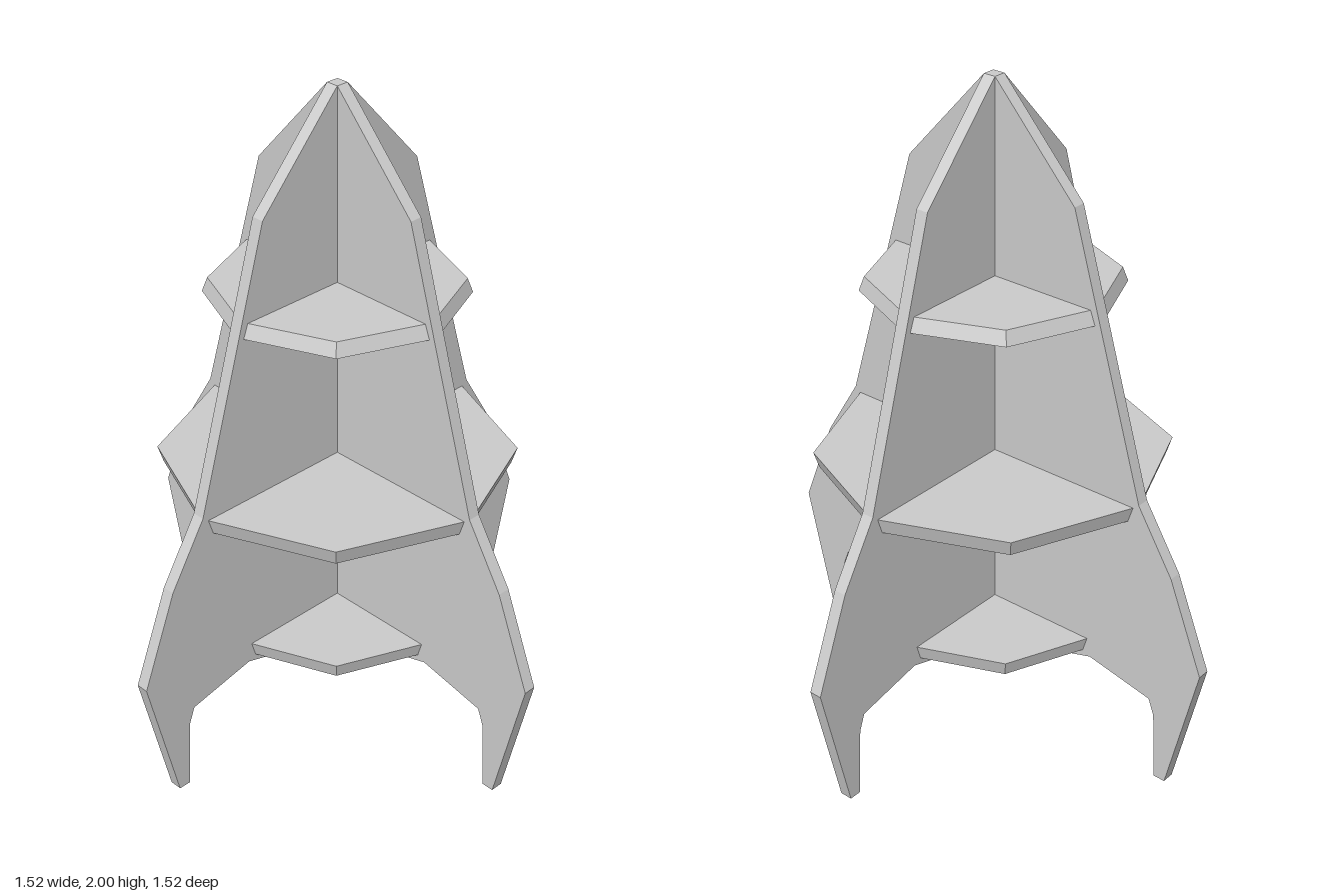
import * as THREE from 'three';

export function createModel() {
  const model = new THREE.Group();
  const material = new THREE.MeshStandardMaterial({ color: 0xcccccc, flatShading: true });

  // Right half of the fin outline, from the tip down to the centre notch
  const half = [
    [0.019, 2], [0.29, 1.705], [0.532, 0.89], [0.65, 0.7], [0.762, 0.42],
    [0.662, 0], [0.625, 0], [0.613, 0.215], [0.594, 0.265], [0.38, 0.312],
  ];
  const outline = [
    ...half, [0, 0.203],
    ...half.map(([x, y]) => [-x, y]).reverse(),
  ].map(([x, y]) => new THREE.Vector2(x, y));

  // Two identical upright panels crossing at the axis
  const thickness = 0.038;
  const panelGeometry = new THREE.ExtrudeGeometry(new THREE.Shape(outline), {
    depth: thickness, bevelEnabled: false,
  });
  panelGeometry.translate(0, 0, -thickness / 2);
  ['finPanelAcross', 'finPanelAlong'].forEach((name, i) => {
    const panel = new THREE.Mesh(panelGeometry, material);
    panel.name = name;
    panel.rotation.y = i * Math.PI / 2;
    model.add(panel);
  });

  // Octagonal shelves with slanted rims, corners on the panels
  const shelves = [
    ['lowerShelf', 0.325, 0.371, 0.362, 0.376],
    ['middleShelf', 0.826, 0.875, 0.505, 0.521],
    ['upperShelf', 1.385, 1.427, 0.374, 0.358],
  ];
  for (const [name, bottom, top, bottomRadius, topRadius] of shelves) {
    const shelf = new THREE.Mesh(
      new THREE.CylinderGeometry(topRadius, bottomRadius, top - bottom, 8), material);
    shelf.name = name;
    shelf.position.y = (bottom + top) / 2;
    model.add(shelf);
  }
  return model;
}
